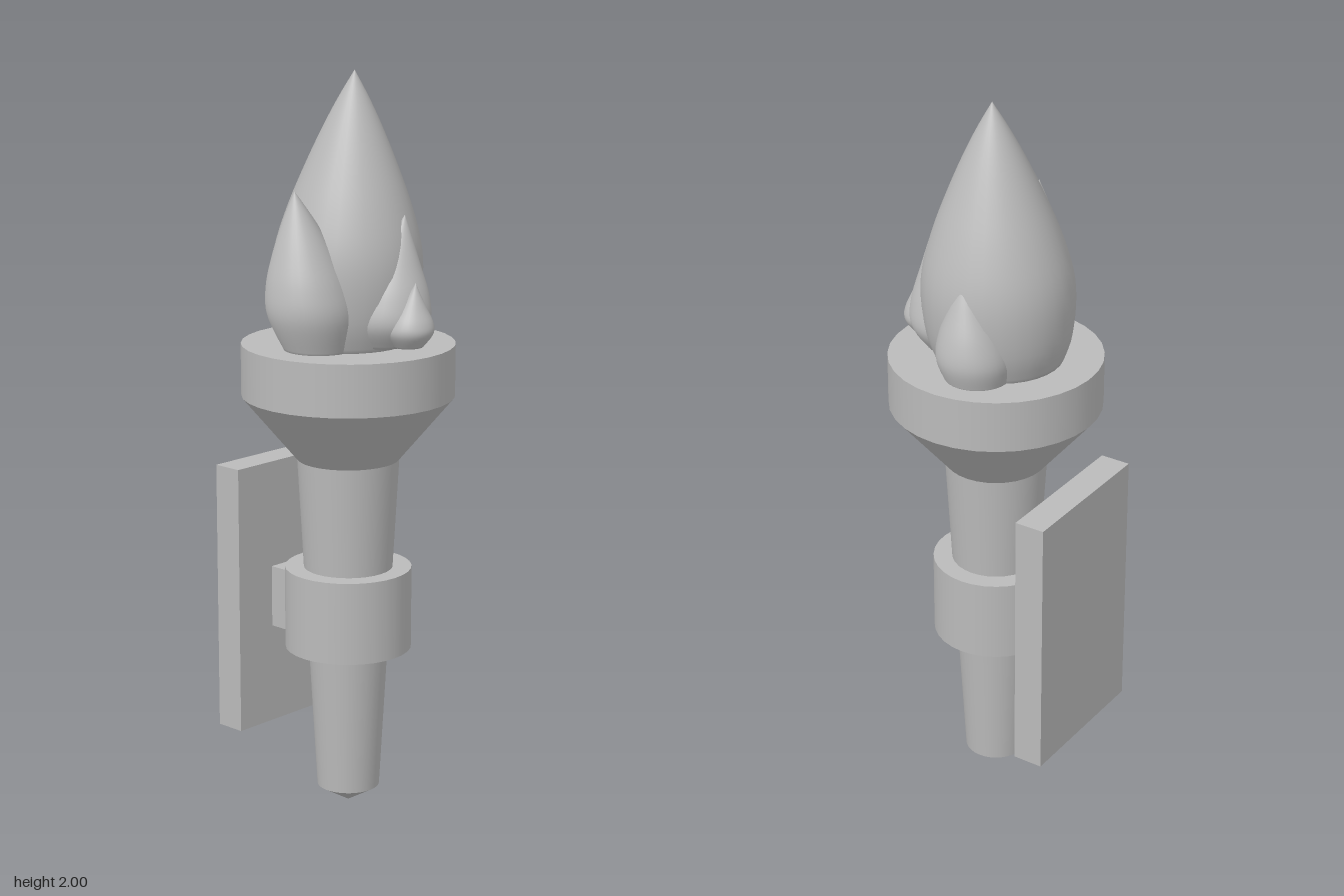
import * as THREE from 'three';

const stone = new THREE.MeshStandardMaterial({ color: 0xbababa });
stone.name = 'plain grey';

function add(group, name, geometry, x = 0, y = 0, z = 0) {
  const mesh = new THREE.Mesh(geometry, stone);
  mesh.name = name;
  mesh.position.set(x, y, z);
  group.add(mesh);
}

// Round section standing between two heights
function drum(group, name, y0, y1, r0, r1) {
  add(group, name, new THREE.CylinderGeometry(r1, r0, y1 - y0, 32), 0, (y0 + y1) / 2, 0);
}

// Teardrop flame: [radius, y] profile, sheared from its base centre to its tip
function flame(group, name, profile, base, tip) {
  const points = profile.map(([r, y]) => new THREE.Vector2(r, y));
  const curve = new THREE.SplineCurve(points).getPoints(28);
  curve.forEach((p) => { p.x = Math.max(p.x, 0); });
  curve.unshift(new THREE.Vector2(0, points[0].y));
  const geometry = new THREE.LatheGeometry(curve, 32);
  const pos = geometry.attributes.position;
  const y0 = points[0].y;
  const y1 = points[points.length - 1].y;
  for (let i = 0; i < pos.count; i++) {
    const t = (pos.getY(i) - y0) / (y1 - y0);
    pos.setX(i, pos.getX(i) + base[0] + (tip[0] - base[0]) * t);
    pos.setZ(i, pos.getZ(i) + base[1] + (tip[1] - base[1]) * t);
  }
  add(group, name, geometry);
}

export function createModel() {
  const model = new THREE.Group();
  model.name = 'wallTorch';

  // Handle with pointed foot
  drum(model, 'footPoint', 0, 0.05, 0.001, 0.085);
  drum(model, 'handle', 0.05, 0.98, 0.085, 0.137);

  // Flared cup
  drum(model, 'cupFlare', 0.975, 1.15, 0.137, 0.284);
  drum(model, 'cupRim', 1.15, 1.29, 0.284, 0.284);

  // Wall mount
  drum(model, 'holderRing', 0.45, 0.675, 0.171, 0.171);
  add(model, 'bracket', new THREE.BoxGeometry(0.18, 0.17, 0.11), 0, 0.565, -0.155);
  add(model, 'wallPlate', new THREE.BoxGeometry(0.428, 0.74, 0.084), 0, 0.575, -0.244);

  // Flames
  flame(model, 'mainFlame', [
    [0.165, 1.285], [0.19, 1.36], [0.2, 1.46], [0.192, 1.55], [0.163, 1.65],
    [0.124, 1.75], [0.08, 1.85], [0.04, 1.93], [0, 2],
  ], [0.003, -0.016], [0.04, -0.015]);
  flame(model, 'rightFlame', [
    [0.09, 1.285], [0.12, 1.38], [0.112, 1.46], [0.08, 1.55], [0.038, 1.64], [0, 1.71],
  ], [-0.115, 0.004], [-0.195, -0.005]);
  flame(model, 'leftFlame', [
    [0.085, 1.285], [0.1, 1.35], [0.085, 1.42], [0.05, 1.5], [0.02, 1.56], [0, 1.6],
  ], [0.135, -0.033], [0.19, -0.03]);
  flame(model, 'frontFlame', [
    [0.085, 1.3], [0.115, 1.36], [0.1, 1.43], [0.063, 1.51], [0.025, 1.59], [0, 1.64],
  ], [0.018, 0.105], [0.045, 0.158]);
  flame(model, 'smallFlame', [
    [0.04, 1.305], [0.062, 1.34], [0.058, 1.37], [0.035, 1.41], [0.012, 1.45], [0, 1.475],
  ], [0.012, 0.2], [0.014, 0.225]);

  return model;
}
